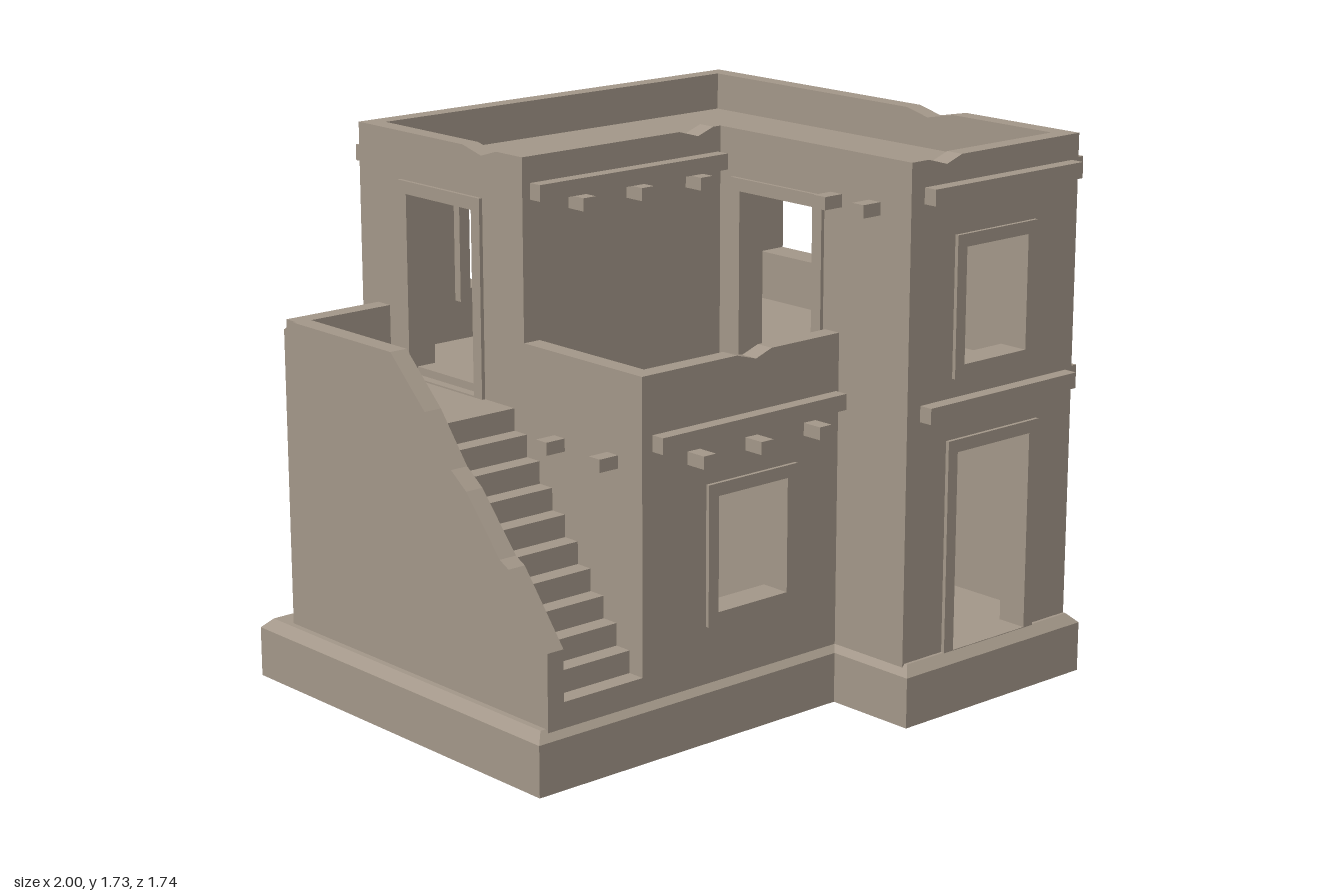
import * as THREE from 'three';

const T = 0.06; // wall thickness

export function createModel() {
  const model = new THREE.Group();
  model.name = 'adobeHouse';
  const clay = new THREE.MeshStandardMaterial({ color: 0xa39789 });
  clay.name = 'clay';

  const add = (geometry, name, parent = model) => {
    const mesh = new THREE.Mesh(geometry, clay);
    mesh.name = name;
    parent.add(mesh);
    return mesh;
  };
  const shapeOf = (pts) => new THREE.Shape(pts.map(([x, y]) => new THREE.Vector2(x, y)));
  const rect = (u0, y0, u1, y1) => [[u0, y0], [u1, y0], [u1, y1], [u0, y1]];
  const extrude = (shape, depth) => new THREE.ExtrudeGeometry(shape, { depth, bevelEnabled: false });
  const box = (name, x0, x1, y0, y1, z0, z1, parent) => {
    const g = new THREE.BoxGeometry(x1 - x0, y1 - y0, z1 - z0);
    g.translate((x0 + x1) / 2, (y0 + y1) / 2, (z0 + z1) / 2);
    return add(g, name, parent);
  };
  // Horizontal slab from an outline in (x, z)
  const slab = (name, outline, y0, y1) => {
    const g = extrude(shapeOf(outline.map(([x, z]) => [x, -z])), y1 - y0);
    g.rotateX(-Math.PI / 2).translate(0, y0, 0);
    return add(g, name);
  };

  // Stepped foundation with a sloped upper edge
  const plan = [[-1, 0.55], [0.18, 0.55], [0.18, 0.86], [0.96, 0.86], [0.96, -0.83], [-1, -0.83]];
  slab('foundation', plan, 0, 0.16);
  const rim = slab('foundationRim', plan, 0.16, 0.19).geometry;
  const p = rim.attributes.position;
  for (let i = 0; i < p.count; i++) {
    if (p.getY(i) < 0.18) continue;
    p.setX(i, p.getX(i) + (p.getX(i) > 0.5 ? -0.03 : 0.03));
    p.setZ(i, p.getZ(i) + (p.getZ(i) > 0 ? -0.03 : 0.03));
  }
  rim.computeVertexNormals();

  // Wall from a to b (x, z), left to right as seen from outside.
  // openings: [u0, y0, u1, y1], chips: worn dents [u, width] in the top edge,
  // rails: [u0, u1, y], pegs: [u, y]
  const wall = (name, a, b, y0, y1, { openings = [], chips = [], rails = [], pegs = [] } = {}) => {
    const side = new THREE.Group();
    side.name = name;
    const dx = b[0] - a[0], dz = b[1] - a[1], len = Math.hypot(dx, dz);
    side.position.set(a[0], 0, a[1]);
    side.rotation.y = Math.atan2(-dz, dx);
    model.add(side);

    const outline = [[0, y0], [len, y0], [len, y1]];
    for (const [u, w] of chips) {
      outline.push([u + w / 2, y1], [u + w * 0.05, y1 - 0.022], [u - w / 2, y1]);
    }
    outline.push([0, y1]);
    const shape = shapeOf(outline);
    for (const o of openings) shape.holes.push(shapeOf(rect(...o)));
    add(extrude(shape, T).translate(0, 0, -T), name + 'Panel', side);

    for (const [u0, v0, u1, v1] of openings) {
      const isDoor = v1 - v0 > 0.5, m = 0.04;
      const frame = shapeOf(rect(u0 - m, isDoor ? v0 - 0.005 : v0 - m, u1 + m, v1 + m));
      frame.holes.push(shapeOf(rect(u0, v0, u1, v1)));
      add(extrude(frame, 0.1).translate(0, 0, -0.088), isDoor ? 'doorFrame' : 'windowFrame', side);
    }
    for (const [u0, u1, y] of rails) box('ledgeBeam', u0, u1, y - 0.025, y + 0.025, -0.01, 0.045, side);
    for (const [u, y] of pegs) {
      box('beamEnd', u - 0.024, u + 0.024, y - 0.02, y + 0.02, -0.01, 0.07, side);
    }
  };

  const LOW = 0.965, HIGH = 1.625, PEG_LOW = 0.895, PEG_HIGH = 1.575;
  const row = (us, y) => us.map((u) => [u, y]);

  wall('terraceFront', [-0.59, 0.53], [0.2, 0.53], 0.1, 1.17, {
    openings: [[0.29, 0.4, 0.57, 0.76]],
    chips: [[0.44, 0.14]],
    rails: [[0.04, 0.78, LOW]],
    pegs: row([0.2, 0.43, 0.67], PEG_LOW),
  });
  wall('terraceSide', [-0.59, -0.02], [-0.59, 0.53], 0.1, 1.17, {
    pegs: row([0.18, 0.42], PEG_LOW),
  });
  wall('towerInnerSide', [0.2, -T], [0.2, 0.82], 0.1, 1.73, {
    openings: [[0.16, 1.0, 0.48, 1.54]],
    pegs: row([0.57, 0.73], PEG_HIGH),
  });
  wall('towerFront', [0.2, 0.82], [0.93, 0.82], 0.1, 1.73, {
    openings: [[0.21, 0.19, 0.53, 0.82], [0.23, 1.09, 0.5, 1.45]],
    chips: [[0.14, 0.14]],
    rails: [[0.055, 0.7, LOW], [0.055, 0.7, HIGH]],
  });
  wall('rightSide', [0.93, 0.82], [0.93, -0.8], 0.1, 1.73, {
    openings: [[1.04, 1.16, 1.31, 1.525]],
    chips: [[0.57, 0.2]],
    rails: [[0.02, 1.6, LOW], [0.02, 1.6, HIGH]],
    pegs: [...row([0.14, 0.3], PEG_HIGH), ...row([0.42, 0.66], PEG_LOW)],
  });
  wall('back', [0.93, -0.8], [-0.59, -0.8], 0.1, 1.73, {
    openings: [[0.89, 1.16, 1.16, 1.525]],
    rails: [[0.03, 1.5, LOW], [0.03, 1.5, HIGH]],
    pegs: [...row([0.85, 1.09, 1.32], PEG_HIGH), ...row([0.85, 1.09, 1.32], PEG_LOW)],
  });
  wall('upperLeftSide', [-0.59, -0.8], [-0.59, 0], 0.1, 1.73, {
    openings: [[0.25, 0.965, 0.57, 1.54]],
    chips: [[0.6, 0.16]],
  });
  wall('upperFront', [-0.59, 0], [0.2, 0], 0.94, 1.73, {
    chips: [[0.69, 0.14]],
    rails: [[0.03, 0.78, HIGH]],
    pegs: row([0.2, 0.43, 0.67], PEG_HIGH),
  });

  // Upper floor with terrace, and roof, both set inside the walls
  const lShape = (z) => [[-0.57, z], [0.22, z], [0.22, 0.8], [0.91, 0.8], [0.91, -0.78], [-0.57, -0.78]];
  slab('upperFloor', lShape(0.51), 0.93, 0.99);
  slab('roof', lShape(-0.02), 1.57, 1.61);

  // Outside staircase and landing: profile in (z, y), extruded along x
  const alongX = (name, pts, x0, x1) => {
    const g = extrude(shapeOf(pts.map(([z, y]) => [-z, y])), x1 - x0);
    g.rotateY(Math.PI / 2).translate(x0, 0, 0);
    return add(g, name);
  };
  const steps = 11, rise = 0.07, run = 0.058;
  const profile = [[-0.7, 0.1], [0.53, 0.1]];
  for (let i = 0; i < steps; i++) {
    const z = 0.53 - i * run;
    profile.push([z, 0.19 + i * rise], [z, 0.19 + (i + 1) * rise]);
  }
  profile.push([-0.7, 0.19 + steps * rise]);
  alongX('staircase', profile, -0.9, -0.58);

  // Worn, sloping wall beside the stairs
  alongX('stairWall', [
    [-0.72, 0.1], [0.53, 0.1], [0.53, 0.42], [0.36, 0.63], [0.32, 0.65], [0.17, 0.82],
    [0.1, 0.87], [-0.02, 1.02], [-0.18, 1.17], [-0.67, 1.17], [-0.72, 1.14],
  ], -0.95, -0.89);
  wall('landingBack', [-0.58, -0.72], [-0.94, -0.72], 0.1, 1.17);

  return model;
}
